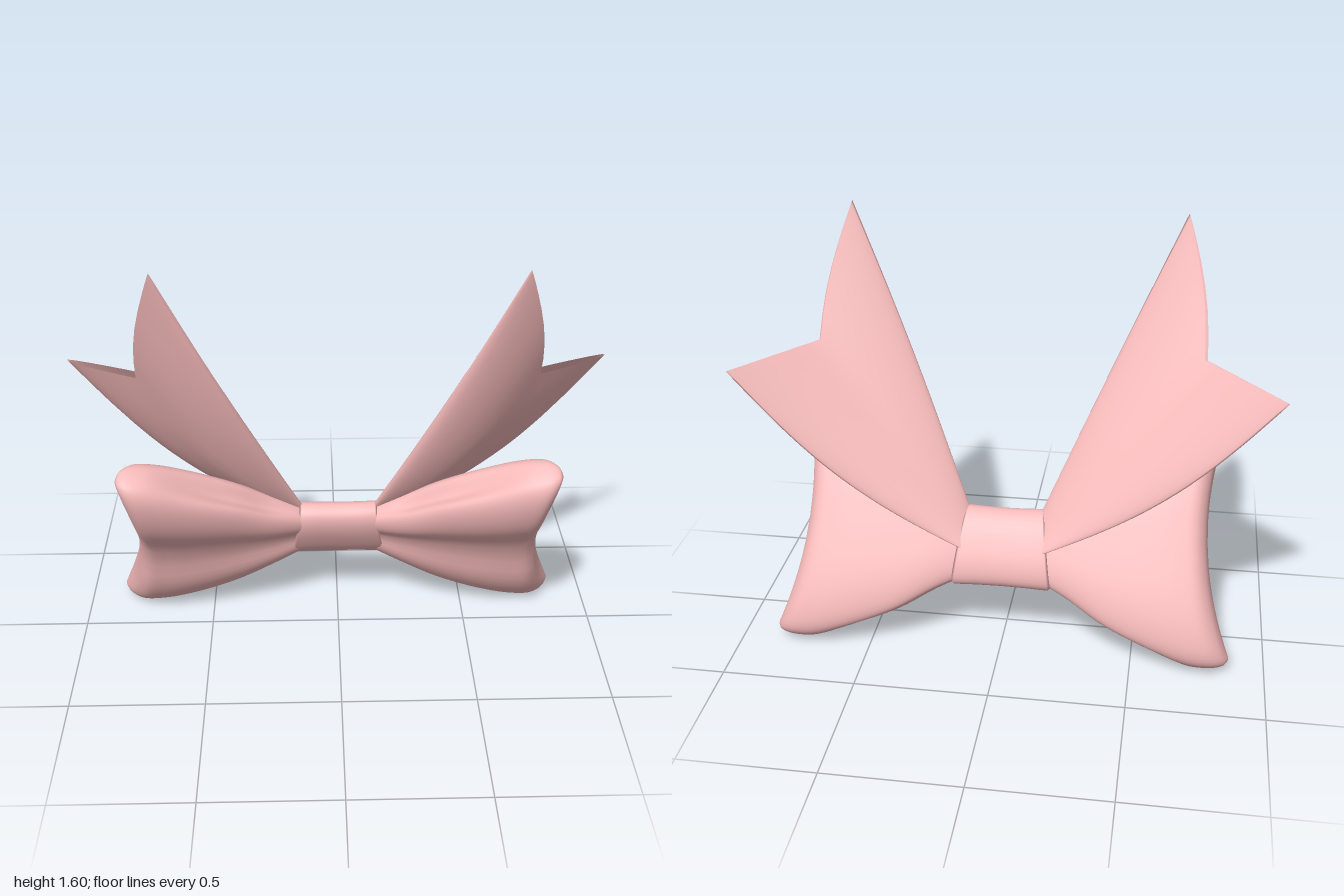
import * as THREE from 'three';

const material = new THREE.MeshStandardMaterial({ color: 0xf6baba, side: THREE.DoubleSide });

// The bow leans: "up" runs along its height, "out" is its front normal.
const up = new THREE.Vector3(0, 0.865, 0.502);
const out = new THREE.Vector3(0, -0.502, 0.865);

// Skin over closed rings; point(i, j) gives a Vector3. mirror = -1 builds the other side.
function loft(name, rows, cols, point, mirror = 1) {
  const pos = [], idx = [];
  for (let i = 0; i <= rows; i++) {
    for (let j = 0; j < cols; j++) {
      const p = point(i / rows, j / cols);
      pos.push(p.x * mirror, p.y, p.z);
    }
  }
  for (let i = 0; i < rows; i++) {
    for (let j = 0; j < cols; j++) {
      const a = i * cols + j, b = i * cols + (j + 1) % cols;
      const c = a + cols, d = b + cols;
      if (mirror > 0) idx.push(a, b, c, b, d, c);
      else idx.push(a, c, b, b, c, d);
    }
  }
  const g = new THREE.BufferGeometry();
  g.setAttribute('position', new THREE.Float32BufferAttribute(pos, 3));
  g.setIndex(idx);
  g.computeVertexNormals();
  const mesh = new THREE.Mesh(g, material);
  mesh.name = name;
  return mesh;
}

const power = (v, e) => Math.sign(v) * Math.abs(v) ** e;
const curve = (pts) => new THREE.CatmullRomCurve3(pts.map((p) => new THREE.Vector3(...p)));

// Loop profile: x, half height, half thickness, closing to a rounded outer end
const loopProfile = curve([
  [0.12, 0.115, 0.045], [0.25, 0.2, 0.08], [0.4, 0.31, 0.105], [0.57, 0.395, 0.125],
  [0.7, 0.442, 0.13], [0.78, 0.452, 0.122], [0.818, 0.445, 0.09], [0.832, 0.43, 0.05], [0.835, 0.415, 0],
]);

function loopPoint(u, k) {
  const { x, y: a, z: b } = loopProfile.getPoint(u);
  const ang = k * Math.PI * 2;
  let v = a * power(Math.cos(ang), 0.68);
  let w = Math.max(b, 0) * power(Math.sin(ang), 0.68);
  const r = v / a;
  // crease along the middle of the front, fuller back
  w *= w > 0 ? 1 - 0.42 * Math.exp(-((r / 0.35) ** 2)) : 1.04;
  // fold tucked into the top and bottom edges, fading outwards
  const fade = THREE.MathUtils.smoothstep(x, 0.12, 0.3) * (1 - THREE.MathUtils.smoothstep(x, 0.4, 0.72));
  if (b > 0) v *= 1 - 0.15 * fade * Math.exp(-((w / (0.35 * b)) ** 2));
  // waisted outer edge, lower corner longer than the upper one
  const s = (x / 0.83) ** 3;
  const px = x - s * (0.07 * (1 - r * r) + 0.03 * r);
  const p = new THREE.Vector3(px, 0.385 + 0.025 * s, -0.09 + 0.085 * x / 0.83);
  return p.addScaledVector(up, v).addScaledVector(out, w);
}

// Tail: a hollow ribbon with a swallow-tail end
const V = (x, y, z) => new THREE.Vector3(x, y, z);
const baseInner = V(0.13, 0.5, -0.04), baseOuter = V(0.13, 0.39, -0.155);
const tipInner = V(0.62, 1.6, 0.285), notch = V(0.71, 1.13, 0.06), tipOuter = V(1, 1.08, -0.17);
const tailNormal = V(0.39, -0.42, 0.82);

function tailPoint(s, k) {
  const ang = k * Math.PI * 2;
  const t = (1 - Math.cos(ang)) / 2;
  const off = Math.sin(ang);
  const end = t < 0.5 ? tipInner.clone().lerp(notch, t * 2) : notch.clone().lerp(tipOuter, t * 2 - 1);
  // the long point is slightly bowed outwards
  if (t < 0.5) end.addScaledVector(V(0.025, -0.02, 0), Math.sin(Math.PI * 2 * t));
  const p = baseInner.clone().lerp(baseOuter, t).lerp(end, s);
  const arc = Math.sin(Math.PI * s);
  p.addScaledVector(V(0, 0, 0.035), arc * (1 - t) ** 2);
  p.addScaledVector(V(0.04, -0.06, 0), arc * t ** 2);
  const thick = 0.06 * Math.sin(Math.PI * (0.1 + 0.8 * s));
  return p.addScaledVector(tailNormal, off * thick * (off > 0 ? 1 : 0.5));
}

// Knot: flattened band, wider at the bottom, with rounded rims
const knotRings = [[-0.9, 0.8], [-1, 0.93], [-0.95, 1], [-0.5, 0.98], [0, 0.97], [0.5, 0.98], [0.95, 1], [1, 0.93], [0.9, 0.8]];

function knotPoint(u, k) {
  const [f, r] = knotRings[Math.round(u * (knotRings.length - 1))];
  const ang = k * Math.PI * 2;
  const c = power(Math.cos(ang), 0.85);
  return V(f * (0.168 - 0.02 * c), 0.385, -0.09)
    .addScaledVector(up, 0.153 * r * c)
    .addScaledVector(out, 0.068 * r * power(Math.sin(ang), 0.85));
}

export function createModel() {
  const model = new THREE.Group();
  model.name = 'ribbonBow';
  model.add(loft('knot', knotRings.length - 1, 40, knotPoint));
  for (const [side, m] of [['left', 1], ['right', -1]]) {
    model.add(loft(side + 'Loop', 40, 64, loopPoint, m));
    model.add(loft(side + 'Tail', 24, 32, tailPoint, m));
  }
  return model;
}
